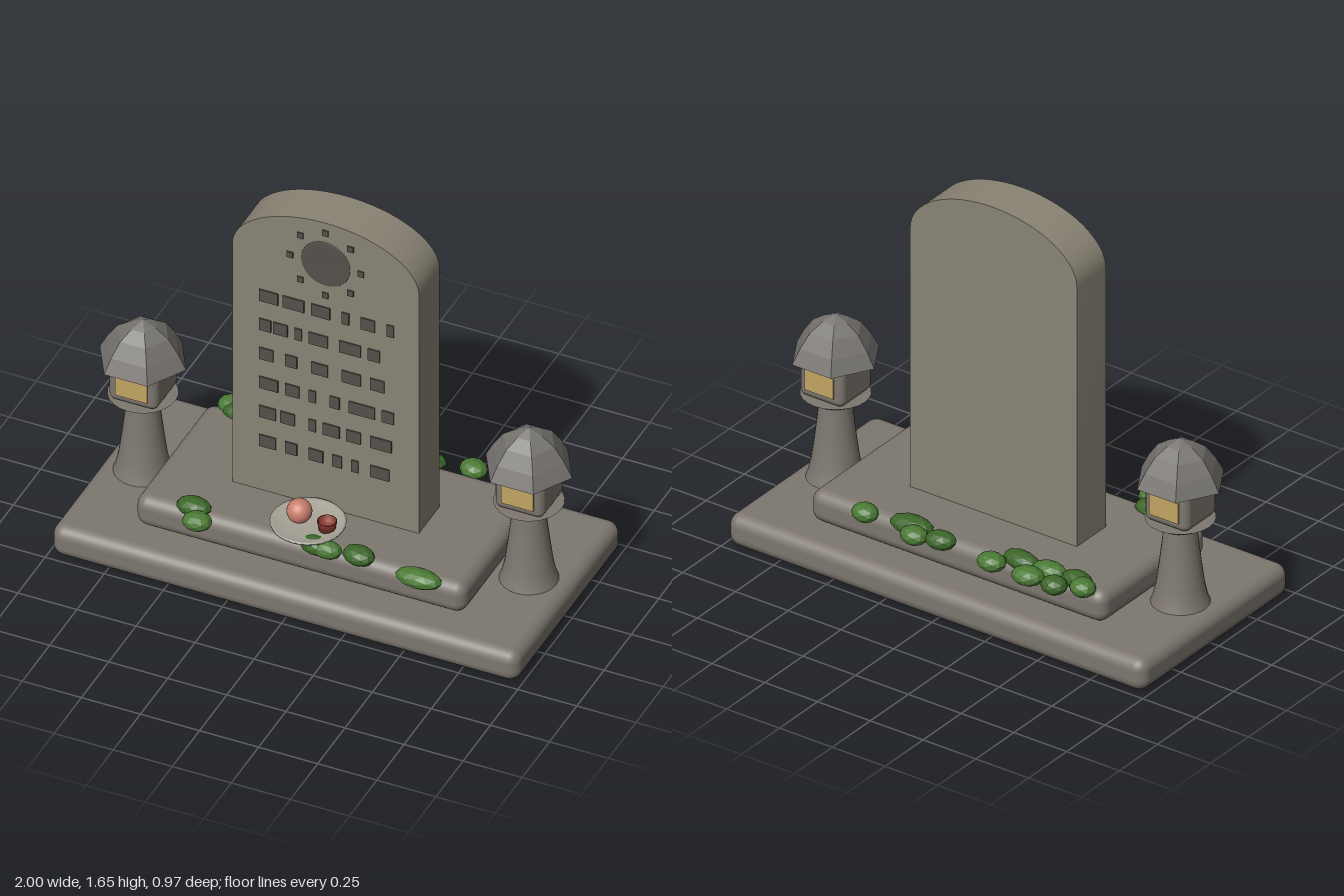
import * as THREE from 'three';
import { RoundedBoxGeometry } from 'three/addons/geometries/RoundedBoxGeometry.js';
import { toCreasedNormals } from 'three/addons/utils/BufferGeometryUtils.js';

const mat = (color, extra = {}) => new THREE.MeshStandardMaterial({ color, ...extra });
const stone = mat(0x7d776f);
const slabStone = mat(0x8a8475);
const carved = mat(0x55504a);
const roofStone = mat(0x76736f, { flatShading: true });
const glow = mat(0xc2a562);
const china = mat(0xa8a498, { side: THREE.DoubleSide });
const peach = mat(0xc87f6c);
const red = mat(0x8c3a30, { side: THREE.DoubleSide });
const leaves = [mat(0x4a7a34, { flatShading: true }), mat(0x3c6629, { flatShading: true })];

function add(parent, name, geometry, material, x = 0, y = 0, z = 0) {
  const mesh = new THREE.Mesh(geometry, material);
  mesh.name = name;
  mesh.position.set(x, y, z);
  parent.add(mesh);
  return mesh;
}

function lathe(points, segments, start = 0) {
  return new THREE.LatheGeometry(points.map(([r, y]) => new THREE.Vector2(r, y)), segments, start);
}

// Upright slab with a low elliptical arch on top
function slabGeometry() {
  const shape = new THREE.Shape();
  shape.moveTo(-0.395, 0.27);
  shape.lineTo(0.395, 0.27);
  shape.lineTo(0.395, 1.43);
  shape.absellipse(0, 1.43, 0.395, 0.222, 0, Math.PI, false, 0);
  shape.closePath();
  const geo = new THREE.ExtrudeGeometry(shape, { depth: 0.19, bevelEnabled: false, curveSegments: 16 });
  geo.translate(0, 0, -0.095);
  return toCreasedNormals(geo, 0.5);
}

// Rows of small raised blocks: [left, right] edges in hundredths
const rows = [
  [-28, -20, -18, -9, -6, 2, 7, 10, 15, 21, 26, 29],
  [-28, -23, -22, -16, -13, -10, -7, 1, 6, 15, 18, 23],
  [-28, -22, -17, -12, -6, 1, 7, 15, 19, 25],
  [-28, -20, -17, -11, -7, -4, 2, 6, 10, 21, 24, 29],
  [-28, -21, -19, -13, -7, -4, -1, 6, 9, 15, 19, 28],
  [-28, -21, -17, -12, -7, -1, 3, 7, 11, 14, 19, 27],
];

function createCarvings() {
  const group = new THREE.Group();
  group.name = 'carvings';
  rows.forEach((row, r) => {
    for (let i = 0; i < row.length; i += 2) {
      const width = (row[i + 1] - row[i]) / 100;
      add(group, 'carvedBlock', new THREE.BoxGeometry(width, 0.055, 0.012), carved,
        (row[i] + row[i + 1]) / 200, 1.22 - r * 0.14, 0.095);
    }
  });
  // Round medallion, slightly dished, ringed by studs
  const dish = lathe([[0, 0.001], [0.04, 0.0012], [0.08, 0.002], [0.102, 0.003], [0.104, 0]].reverse(), 32);
  add(group, 'medallion', dish, carved, 0, 1.455, 0.095).rotation.x = Math.PI / 2;
  for (let i = 0; i < 8; i++) {
    const a = i * Math.PI / 4;
    add(group, 'medallionStud', new THREE.BoxGeometry(0.026, 0.026, 0.012), carved,
      0.15 * Math.cos(a), 1.455 + 0.15 * Math.sin(a), 0.095);
  }
  return group;
}

function createLantern(x, name) {
  const lantern = new THREE.Group();
  lantern.name = name;
  lantern.position.x = x;

  // Flared column with a cup-shaped collar
  const column = lathe([[0.118, 0.135], [0.106, 0.17], [0.095, 0.22], [0.083, 0.31], [0.07, 0.42],
    [0.066, 0.475], [0.085, 0.478], [0.138, 0.512], [0, 0.516]], 24);
  add(lantern, 'lanternColumn', toCreasedNormals(column, 0.6), stone);

  // Fire box with a window front and back
  add(lantern, 'fireBox', new RoundedBoxGeometry(0.208, 0.17, 0.208, 3, 0.03), stone, 0, 0.597, 0);
  for (const s of [1, -1]) {
    add(lantern, 'lanternWindow', new THREE.BoxGeometry(0.136, 0.09, 0.02), glow, 0, 0.597, s * 0.101);
  }

  // Six-sided roof, closed underneath
  const roof = lathe([[0, 0.675], [0.183, 0.675], [0.15, 0.738], [0.107, 0.799], [0.055, 0.835], [0, 0.86]],
    6, Math.PI / 6);
  add(lantern, 'lanternRoof', roof, roofStone);
  return lantern;
}

function createOffering() {
  const offering = new THREE.Group();
  offering.name = 'offering';
  offering.position.set(0, 0, 0.255);
  add(offering, 'plate', lathe([[0, 0.285], [0.09, 0.288], [0.146, 0.318], [0.148, 0.328], [0.138, 0.326],
    [0.09, 0.312], [0, 0.31]], 32), china);
  add(offering, 'fruit', new THREE.SphereGeometry(0.05, 24, 16), peach, -0.037, 0.363, 0);
  add(offering, 'cup', lathe([[0, 0.31], [0.032, 0.31], [0.039, 0.352], [0.034, 0.352], [0.029, 0.33],
    [0, 0.33]], 20), red, 0.08, 0, 0);
  return offering;
}

// Moss clumps: x, z, half width, half depth
const clumps = [
  [-0.6, -0.34, 0.055, 0.05], [-0.5, -0.39, 0.055, 0.05], [-0.375, -0.39, 0.068, 0.055],
  [-0.55, -0.305, 0.07, 0.045], [-0.42, -0.31, 0.075, 0.05], [-0.29, -0.31, 0.09, 0.048],
  [-0.2, -0.385, 0.062, 0.052], [0.055, -0.365, 0.065, 0.05], [0.16, -0.395, 0.06, 0.05],
  [0.215, -0.335, 0.095, 0.055], [0.415, -0.363, 0.058, 0.05],
  [-0.46, 0.305, 0.072, 0.05], [-0.41, 0.385, 0.06, 0.05], [0.065, 0.332, 0.065, 0.045],
  [0.12, 0.34, 0.06, 0.04], [0.245, 0.322, 0.068, 0.05], [0.515, 0.358, 0.098, 0.05],
];

function createMoss() {
  const moss = new THREE.Group();
  moss.name = 'moss';
  const ball = new THREE.IcosahedronGeometry(1, 1);
  clumps.forEach(([x, z, w, d], i) => {
    const clump = add(moss, 'mossClump', ball, leaves[i % 2], x, 0.284, z);
    clump.scale.set(w, 0.038, d);
    clump.rotation.y = ((i * 7) % 5 - 2) * 0.08;
  });
  return moss;
}

export function createModel() {
  const model = new THREE.Group();
  model.name = 'memorialStone';

  // Two stacked plinths
  add(model, 'lowerPlinth', new RoundedBoxGeometry(1.976, 0.14, 0.972, 4, 0.05), stone, 0, 0.07, 0);
  add(model, 'upperPlinth', new RoundedBoxGeometry(1.396, 0.14, 0.69, 4, 0.05), stone, 0, 0.21, 0);

  add(model, 'slab', slabGeometry(), slabStone);
  model.add(createCarvings());
  model.add(createLantern(0.817, 'leftLantern'), createLantern(-0.817, 'rightLantern'));
  model.add(createOffering(), createMoss());
  return model;
}
